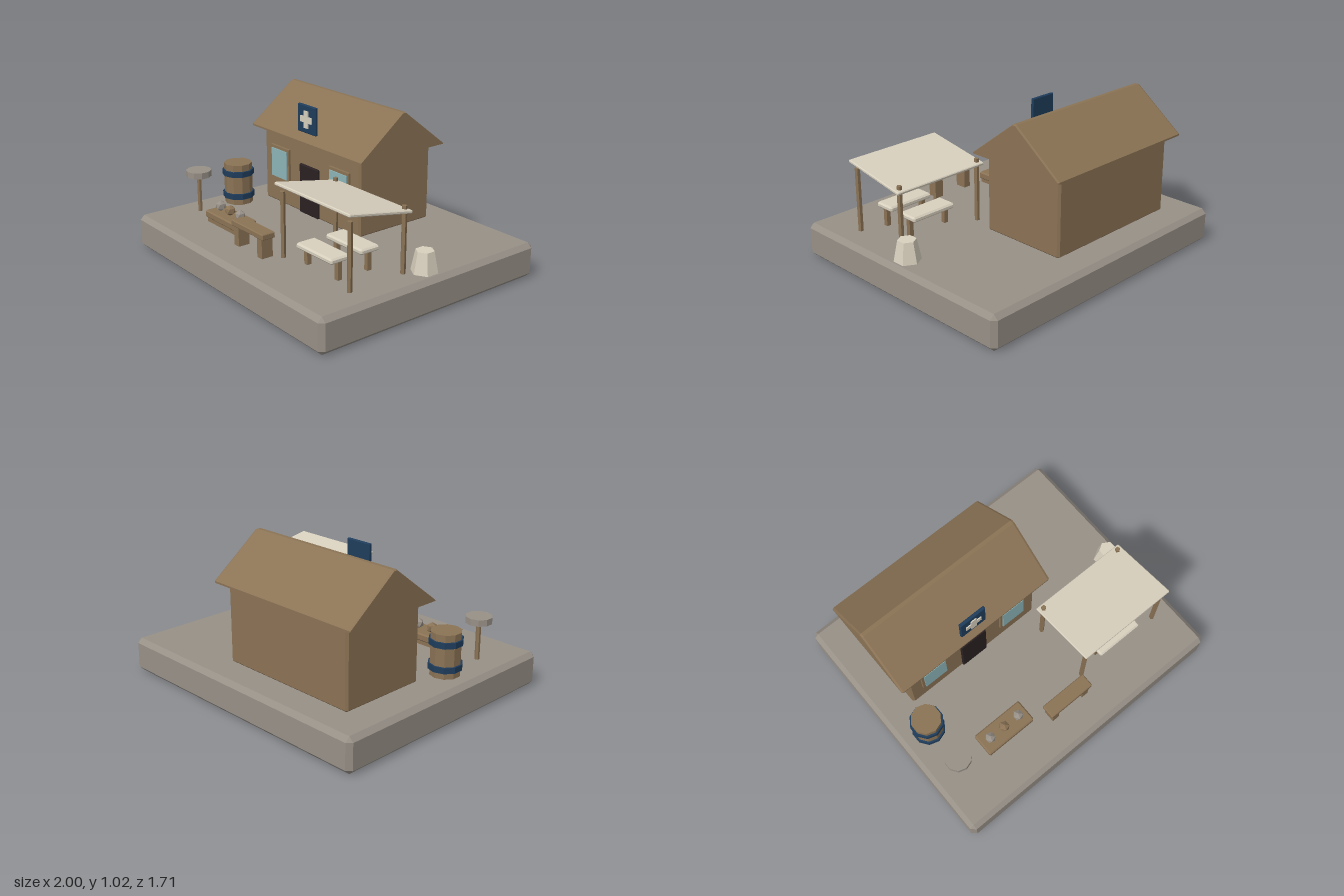
import * as THREE from 'three';
import { ConvexGeometry } from 'three/addons/geometries/ConvexGeometry.js';

const mat = (name, color) => {
  const m = new THREE.MeshStandardMaterial({ color, flatShading: true });
  m.name = name;
  return m;
};

export function createModel() {
  const wood = mat('wood', 0x8b7355);
  const stone = mat('stone', 0x979087);
  const cream = mat('cream', 0xd8d0be);
  const navy = mat('navy', 0x1f3d5c);
  const doorDark = mat('dark door', 0x2b2122);
  const glass = mat('window glass', 0x8db5b8);

  const model = new THREE.Group();
  model.name = 'fieldStation';
  const GROUND = 0.23;

  const add = (name, geometry, material, x, y, z, parent = model) => {
    const mesh = new THREE.Mesh(geometry, material);
    mesh.name = name;
    mesh.position.set(x, y, z);
    parent.add(mesh);
    return mesh;
  };
  const group = (name, x, z) => {
    const g = new THREE.Group();
    g.name = name;
    g.position.set(x, GROUND, z);
    model.add(g);
    return g;
  };
  const box = (w, h, d) => new THREE.BoxGeometry(w, h, d);

  // Box with every edge and corner cut by c
  const chamferBox = (w, h, d, c) => {
    const points = [];
    for (const sx of [-1, 1]) for (const sy of [-1, 1]) for (const sz of [-1, 1]) {
      for (let axis = 0; axis < 3; axis++) {
        const cut = [c, c, c];
        cut[axis] = 0;
        points.push(new THREE.Vector3(
          sx * (w / 2 - cut[0]), sy * (h / 2 - cut[1]), sz * (d / 2 - cut[2])));
      }
    }
    return new ConvexGeometry(points);
  };
  const shapeOf = (pts) => new THREE.Shape(pts.map(([x, y]) => new THREE.Vector2(x, y)));

  // Ground slab
  add('groundSlab', chamferBox(2, GROUND, 1.71, 0.03), stone, 0, GROUND / 2, 0);

  // House walls
  const HX = -0.258;
  add('houseWalls', chamferBox(1.02, 0.52, 0.6, 0.014), wood, HX, 0.485, -0.342);

  // Gable roof: blunt triangle run along x
  const roofShape = shapeOf([[-0.355, 0.745], [0.355, 0.745], [0.355, 0.757],
    [0.013, 1.02], [-0.013, 1.02], [-0.355, 0.757]]);
  const roof = new THREE.ExtrudeGeometry(roofShape, {
    depth: 1.141, bevelEnabled: true, bevelSegments: 1,
    bevelThickness: 0.012, bevelSize: 0.005, bevelOffset: -0.005,
  });
  roof.translate(0, 0, -1.141 / 2).rotateY(Math.PI / 2);
  add('gableRoof', roof, wood, HX, 0, -0.34);

  // Door and windows
  add('door', chamferBox(0.2, 0.345, 0.03, 0.006), doorDark, HX, 0.405, -0.042);
  for (const side of [-1, 1]) {
    const x = HX + side * 0.318;
    add('windowFrame', box(0.205, 0.24, 0.03), wood, x, 0.52, -0.04);
    add('windowGlass', box(0.17, 0.2, 0.008), glass, x, 0.52, -0.022);
  }

  // Sign with a plain cross
  add('signBoard', chamferBox(0.19, 0.187, 0.022, 0.004), navy, HX, 0.903, -0.026);
  const a = 0.058, b = 0.021;
  const cross = new THREE.ExtrudeGeometry(shapeOf([
    [-b, -a], [b, -a], [b, -b], [a, -b], [a, b], [b, b],
    [b, a], [-b, a], [-b, b], [-a, b], [-a, -b], [-b, -b],
  ]), { depth: 0.008, bevelEnabled: false });
  add('signCross', cross, cream, HX, 0.903, -0.016);

  // Sloped canopy on four posts
  const canopy = add('canopyRoof', chamferBox(0.7, 0.02, 0.478, 0.005), cream, 0.515, 0.66, 0.315);
  canopy.rotation.x = -0.18;
  for (const x of [0.2, 0.828]) for (const z of [0.112, 0.516]) {
    add('canopyPost', new THREE.CylinderGeometry(0.017, 0.017, 0.425, 5), wood, x, 0.4425, z);
  }

  // Pale benches under the canopy
  for (const z of [0.235, 0.46]) {
    const bench = group('paleBench', 0.514, z);
    add('benchTop', chamferBox(0.335, 0.036, 0.142, 0.01), cream, 0, 0.13, 0, bench);
    for (const side of [-1, 1]) {
      add('benchLeg', box(0.03, 0.115, 0.03), wood, side * 0.144, 0.0575, 0, bench);
    }
  }

  // Wooden bench at the front
  const woodBench = group('woodBench', -0.003, 0.597);
  add('benchTop', chamferBox(0.337, 0.038, 0.095, 0.005), wood, 0, 0.145, 0, woodBench);
  for (const side of [-1, 1]) {
    add('benchLeg', box(0.05, 0.13, 0.08), wood, side * 0.125, 0.065, 0, woodBench);
  }

  // Low display tray with three lumps
  const tray = group('displayTray', -0.433, 0.481);
  add('trayTop', chamferBox(0.366, 0.05, 0.158, 0.008), wood, 0, 0.052, 0, tray);
  add('trayBase', box(0.34, 0.03, 0.14), wood, 0, 0.015, 0, tray);
  [stone, wood, stone].forEach((material, i) => {
    const lump = new THREE.IcosahedronGeometry(0.037, 0);
    lump.rotateZ(Math.atan(2 / (1 + Math.sqrt(5)))); // a vertex points up
    add('lump', lump, material, (i - 1) * 0.115, 0.108, 0, tray);
  });

  // Barrel with two hoops
  const barrel = group('barrel', -0.805, 0.168);
  add('barrelBody', new THREE.CylinderGeometry(0.097, 0.097, 0.284, 10), wood, 0, 0.142, 0, barrel);
  for (const y of [0.06, 0.22]) {
    add('barrelHoop', new THREE.CylinderGeometry(0.109, 0.109, 0.038, 10), navy, 0, y, 0, barrel);
  }

  // Stone-topped pedestal
  const pedestal = group('pedestal', -0.805, 0.484);
  add('pedestalTop', new THREE.CylinderGeometry(0.086, 0.086, 0.042, 10), stone, 0, 0.271, 0, pedestal);
  add('pedestalPost', new THREE.CylinderGeometry(0.016, 0.016, 0.25, 6), wood, 0, 0.125, 0, pedestal);

  // Tapered six-sided block
  add('taperedBlock', new THREE.CylinderGeometry(0.058, 0.085, 0.136, 6), cream, 0.884, GROUND + 0.068, -0.008);

  return model;
}
